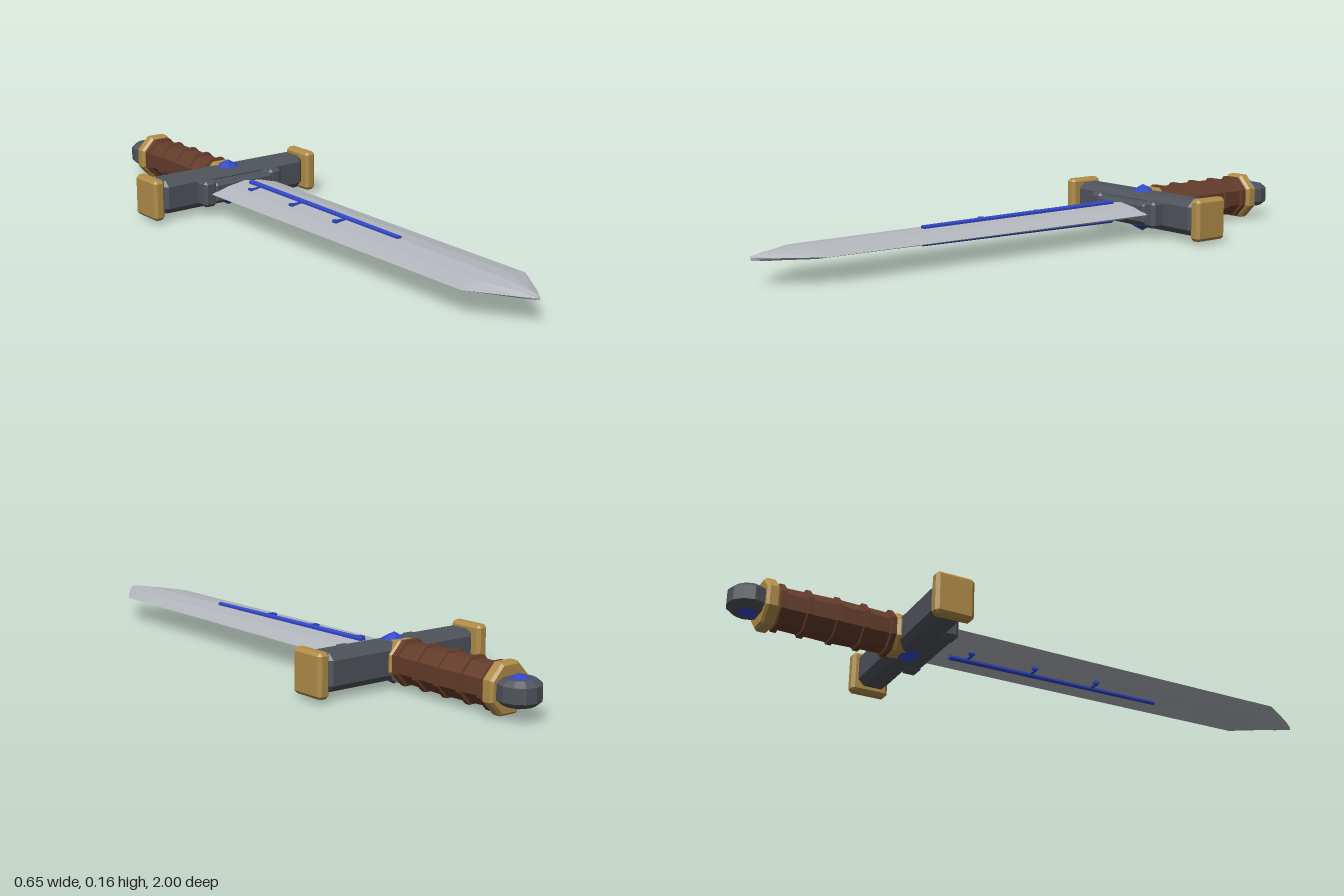
import * as THREE from 'three';
import { ConvexGeometry } from 'three/addons/geometries/ConvexGeometry.js';

const MID = 0.078; // height of the sword's long axis

const material = (name, color) => Object.assign(new THREE.MeshStandardMaterial({ color }), { name });

// Faceted copy of a geometry, with one normal per face
function faceted(geo) {
  const g = geo.index ? geo.toNonIndexed() : geo;
  g.computeVertexNormals();
  return g;
}

// Box with every edge chamfered by c
function chamferBox(w, h, d, c) {
  const a = w / 2, b = h / 2, e = d / 2, pts = [];
  for (const x of [-1, 1]) for (const y of [-1, 1]) for (const z of [-1, 1]) {
    pts.push(
      new THREE.Vector3(x * a, y * (b - c), z * (e - c)),
      new THREE.Vector3(x * (a - c), y * b, z * (e - c)),
      new THREE.Vector3(x * (a - c), y * (b - c), z * e));
  }
  return new ConvexGeometry(pts);
}

// Octagonal lathe along z with flats facing up; profile is [apothem, z]
function octagonAlongZ(profile, heightScale = 1) {
  const pts = profile.map(([r, z]) => new THREE.Vector2(r / Math.cos(Math.PI / 8), z));
  const g = new THREE.LatheGeometry(pts, 8, Math.PI / 8);
  g.rotateX(Math.PI / 2);
  g.scale(1, heightScale, 1);
  return faceted(g);
}

// Lens-shaped blade lofted through sections [z, halfWidth, halfThickness]
function bladeGeometry() {
  const sections = [
    [-0.37, 0.13, 0.027], [-0.3, 0.13, 0.027], [0.83, 0.12, 0.02],
    [0.95, 0.042, 0.014], [1, 0.002, 0.006]];
  const ring = [[1, 0], [0.5, 0.68], [0, 1], [-0.5, 0.68], [-1, 0], [-0.5, -0.68], [0, -1], [0.5, -0.68]];
  const n = ring.length, pos = [], idx = [];
  for (const [z, w, h] of sections) for (const [x, y] of ring) pos.push(x * w, y * h, z);
  for (let s = 0; s < sections.length - 1; s++) for (let i = 0; i < n; i++) {
    const a = s * n + i, b = s * n + (i + 1) % n;
    idx.push(a, b, b + n, a, b + n, a + n);
  }
  const last = (sections.length - 1) * n;
  for (let i = 1; i < n - 1; i++) {
    idx.push(0, i + 1, i);
    idx.push(last, last + i, last + i + 1);
  }
  const g = new THREE.BufferGeometry();
  g.setAttribute('position', new THREE.Float32BufferAttribute(pos, 3));
  g.setIndex(idx);
  return faceted(g);
}

export function createModel() {
  const steel = material('steel', 0xb4b8be);
  const iron = material('darkIron', 0x4f535b);
  const gold = material('gold', 0xb08d48);
  const leather = material('leather', 0x643c2a);
  const blue = material('blueCrystal', 0x3146c4);

  const sword = new THREE.Group();
  sword.name = 'sword';
  const add = (name, geo, mat, x = 0, y = 0, z = 0) => {
    const mesh = new THREE.Mesh(geo, mat);
    mesh.name = name;
    mesh.position.set(x, y, z);
    sword.add(mesh);
    return mesh;
  };

  // Blade
  add('blade', bladeGeometry(), steel);

  // Glowing strip, side marks and gems, on both faces
  for (const side of [1, -1]) {
    const strip = faceted(new THREE.CylinderGeometry(0.009, 0.011, 0.74, 6));
    strip.rotateX(Math.PI / 2);
    add('bladeStrip', strip, blue, 0, side * 0.025, 0.07).rotation.x = side * 0.006;
    for (const z of [-0.24, -0.02, 0.2]) {
      add('bladeMark', new THREE.BoxGeometry(0.04, 0.009, 0.009), blue, -0.025, side * 0.023, z);
      add('bladeMarkHook', new THREE.BoxGeometry(0.012, 0.009, 0.018), blue, -0.042, side * 0.022, z - 0.004);
    }
    const guardGem = faceted(new THREE.ConeGeometry(0.04, 0.022, 6));
    guardGem.rotateY(Math.PI / 2);
    add('guardGem', guardGem, blue, 0, side * 0.067, -0.437).rotation.z = side > 0 ? 0 : Math.PI;
    const pommelGem = faceted(new THREE.ConeGeometry(0.036, 0.016, 8));
    add('pommelGem', pommelGem, blue, 0, side * 0.042, -0.937).rotation.z = side > 0 ? 0 : Math.PI;
  }

  // Crossguard with capped ends
  add('guard', chamferBox(0.57, 0.113, 0.098, 0.02), iron, 0, 0, -0.436);
  for (const side of [1, -1]) {
    add('guardCap', chamferBox(0.04, 0.134, 0.122, 0.01), gold, side * 0.305, 0, -0.436);
    add('bladeCollarEnd', chamferBox(0.05, 0.087, 0.054, 0.01), iron, side * 0.13, 0, -0.368);
  }
  add('bladeCollar', chamferBox(0.23, 0.067, 0.054, 0.008), iron, 0, 0, -0.365);

  // Grip with raised bands and a gold collar at each end
  add('grip', octagonAlongZ([[0, -0.87], [0.054, -0.87], [0.058, -0.68], [0.054, -0.48], [0, -0.48]], 1.06), leather);
  for (const z of [-0.51, -0.595, -0.68, -0.77, -0.85]) {
    add('gripBand', octagonAlongZ([
      [0.052, z - 0.012], [0.064, z - 0.008], [0.064, z + 0.008], [0.052, z + 0.012]], 1.04), leather);
  }
  add('frontCollar', octagonAlongZ([
    [0, -0.5], [0.054, -0.5], [0.062, -0.488], [0.058, -0.45], [0, -0.45]], 1.02), gold);
  add('rearCollar', octagonAlongZ([
    [0, -0.905], [0.064, -0.905], [0.071, -0.897], [0.071, -0.872], [0.064, -0.864], [0, -0.864]], 1.03), gold);

  // Disc pommel with bevelled rims
  const disc = [[0, -0.037], [0.045, -0.037], [0.063, -0.022], [0.063, 0.022], [0.045, 0.037], [0, 0.037]];
  const pommel = new THREE.LatheGeometry(disc.map(([r, y]) => new THREE.Vector2(r, y)), 12);
  add('pommel', faceted(pommel), iron, 0, 0, -0.937);

  sword.position.y = MID;
  const model = new THREE.Group();
  model.name = 'shortSword';
  model.add(sword);
  return model;
}
